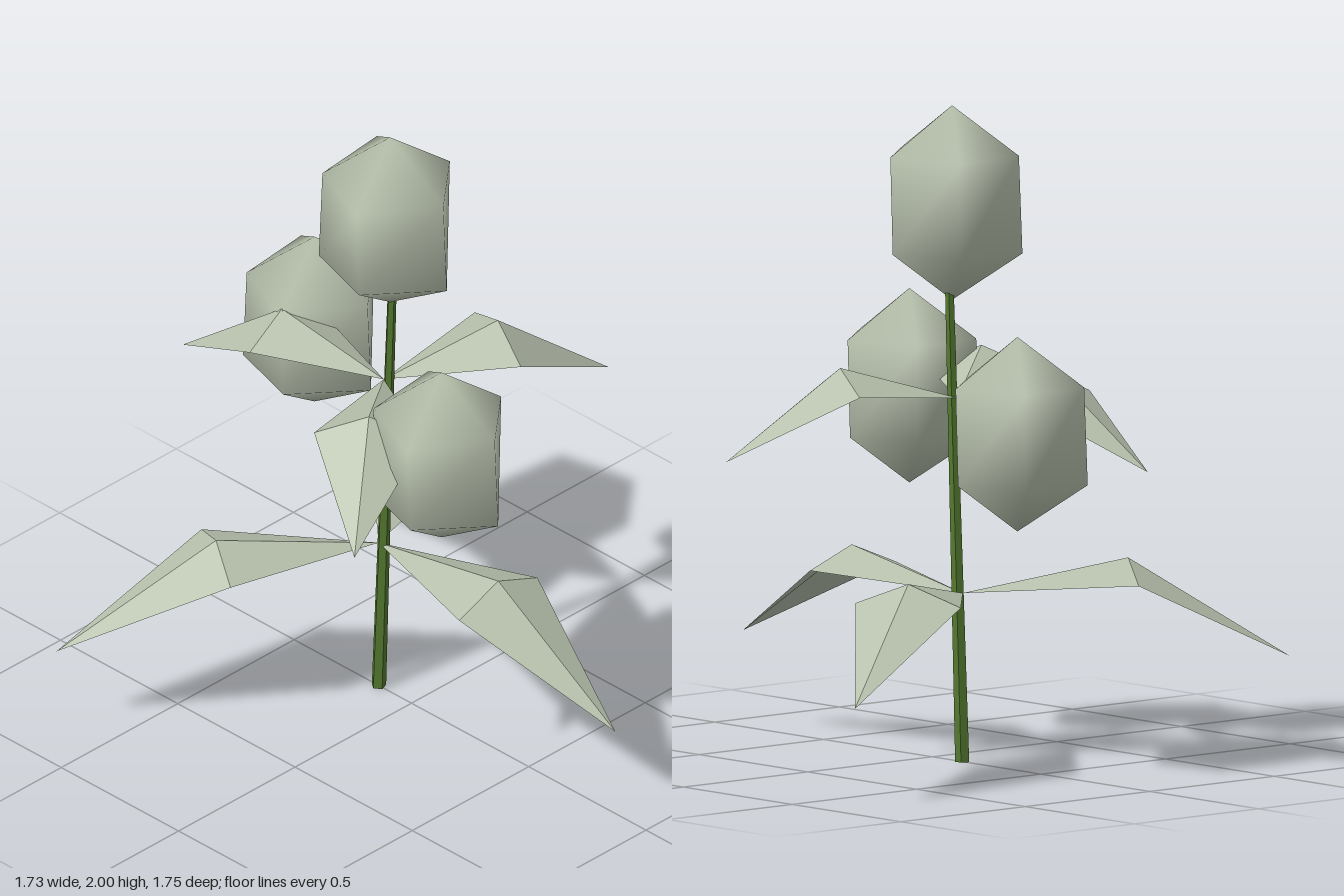
import * as THREE from 'three';

const sage = new THREE.MeshStandardMaterial({ color: 0xb7c0ac, side: THREE.DoubleSide });
sage.name = 'paleSage';
const green = new THREE.MeshStandardMaterial({ color: 0x53782f });
green.name = 'stemGreen';

function makeGeometry(points, index) {
  const g = new THREE.BufferGeometry();
  g.setAttribute('position', new THREE.Float32BufferAttribute(points.flat(), 3));
  g.setIndex(index);
  return g;
}

// Five-sided bud: two slightly uneven rings between a top and a bottom point
function budGeometry() {
  const rings = [
    { y: 0.149, r: [0.225, 0.234, 0.207, 0.238, 0.204] },
    { y: -0.149, r: [0.239, 0.212, 0.218, 0.24, 0.196] },
  ];
  const points = [[0, 0.297, 0], [0, -0.297, 0]];
  for (const { y, r } of rings) {
    r.forEach((radius, i) => {
      const a = (i * Math.PI * 2) / 5 - 0.01;
      points.push([radius * Math.cos(a), y, radius * Math.sin(a)]);
    });
  }
  const index = [];
  for (let i = 0; i < 5; i++) {
    const j = (i + 1) % 5;
    const a = 2 + i, b = 2 + j, c = 7 + i, d = 7 + j;
    index.push(0, b, a, a, b, d, a, d, c, 1, c, d);
  }
  const g = makeGeometry(points, index);
  g.computeVertexNormals();
  return g;
}

// Folded leaf pointing along +x, with a raised ridge and a drooping tip
function leafGeometry(length, mid, halfWidth, ridgeY, sideY, tipY) {
  const points = [
    [0, 0, 0], [mid, ridgeY, 0], [mid, sideY, halfWidth], [mid, sideY, -halfWidth], [length, tipY, 0],
  ];
  const g = makeGeometry(points, [0, 2, 1, 0, 1, 3, 1, 2, 4, 1, 4, 3]).toNonIndexed();
  g.computeVertexNormals();
  return g;
}

function leafWhorl(name, geometry, origin, degrees) {
  const whorl = new THREE.Group();
  whorl.name = name;
  whorl.position.set(...origin);
  degrees.forEach((deg, i) => {
    const leaf = new THREE.Mesh(geometry, sage);
    leaf.name = `${name}Leaf${i + 1}`;
    leaf.rotation.y = -THREE.MathUtils.degToRad(deg);
    whorl.add(leaf);
  });
  return whorl;
}

export function createModel() {
  const model = new THREE.Group();
  model.name = 'buddingPlant';

  // Tapered stem, sheared so that it leans while its base stays level
  const height = 1.46;
  const stemGeometry = new THREE.CylinderGeometry(0.014, 0.023, height, 5).toNonIndexed();
  stemGeometry.translate(0, height / 2, 0);
  const p = stemGeometry.attributes.position;
  for (let i = 0; i < p.count; i++) {
    const t = p.getY(i) / height;
    p.setX(i, p.getX(i) - 0.14 + 0.042 * t);
    p.setZ(i, p.getZ(i) - 0.016 * t);
  }
  stemGeometry.computeVertexNormals();
  const stem = new THREE.Mesh(stemGeometry, green);
  stem.name = 'stem';
  model.add(stem);

  // Two whorls of three leaves
  model.add(leafWhorl('lowerWhorl', leafGeometry(1.01, 0.51, 0.168, 0.095, 0.03, -0.22),
    [-0.14, 0.515, 0], [0, 120, 240]));
  model.add(leafWhorl('upperWhorl', leafGeometry(0.75, 0.38, 0.167, 0.11, 0.04, -0.16),
    [-0.123, 1.11, -0.005], [171, 52, 290.5]));

  // Top bud and two side buds
  const geometry = budGeometry();
  const buds = {
    topBud: [-0.091, 1.703, 0],
    rightBud: [-0.563, 1.059, -0.15],
    leftBud: [0.277, 1.092, 0.15],
  };
  for (const [name, position] of Object.entries(buds)) {
    const bud = new THREE.Mesh(geometry, sage);
    bud.name = name;
    bud.position.set(...position);
    model.add(bud);
  }
  return model;
}
